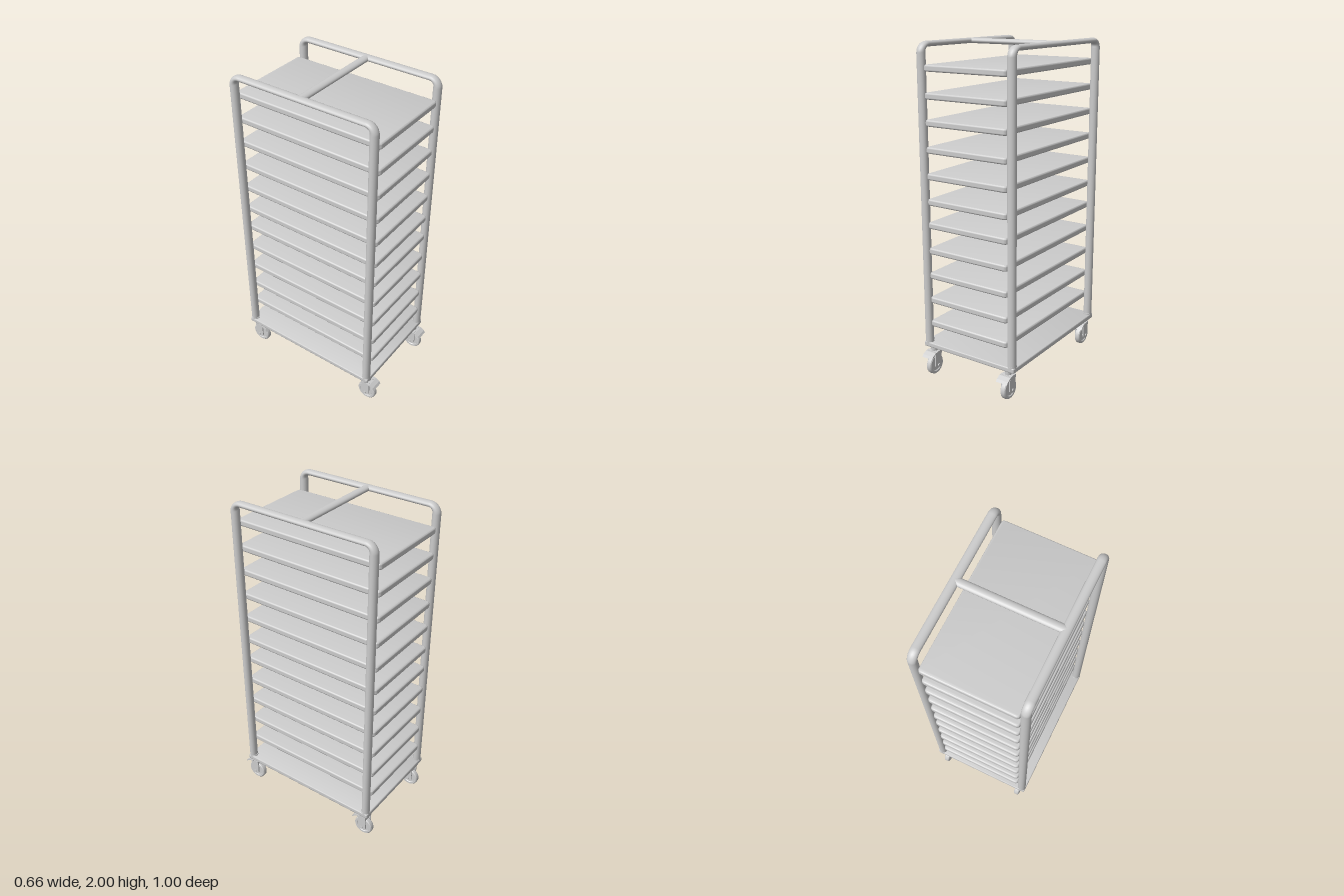
import * as THREE from 'three';
import { toCreasedNormals } from 'three/addons/utils/BufferGeometryUtils.js';

const mat = new THREE.MeshStandardMaterial({ color: 0xcccccc, side: THREE.DoubleSide });
const MID_Z = -0.015;

function add(parent, name, geometry, x = 0, y = 0, z = 0) {
  const mesh = new THREE.Mesh(geometry, mat);
  mesh.name = name;
  mesh.position.set(x, y, z);
  parent.add(mesh);
  return mesh;
}

// Horizontal slab with rounded corners and soft edges, centred on its origin
function slab(width, height, depth, corner, inset, drop, segments) {
  const w = width / 2 - inset, d = depth / 2 - inset, r = corner;
  const s = new THREE.Shape();
  s.moveTo(-w + r, -d);
  s.lineTo(w - r, -d).quadraticCurveTo(w, -d, w, -d + r);
  s.lineTo(w, d - r).quadraticCurveTo(w, d, w - r, d);
  s.lineTo(-w + r, d).quadraticCurveTo(-w, d, -w, d - r);
  s.lineTo(-w, -d + r).quadraticCurveTo(-w, -d, -w + r, -d);
  const g = new THREE.ExtrudeGeometry(s, {
    depth: height - 2 * drop, bevelThickness: drop, bevelSize: inset,
    bevelSegments: segments, curveSegments: 4,
  });
  g.translate(0, 0, drop - height / 2).rotateX(-Math.PI / 2);
  return toCreasedNormals(g, 0.7);
}

// Bent side tube: round on the posts, flattening into the top rail
function hoopGeometry() {
  const front = 0.436, back = -0.464, top = 1.984, bend = 0.045, steps = 8, sides = 20;
  const rings = [[0.2, front, 0, 0.024]]; // y, z, outward angle, half thickness
  for (const [cz, start] of [[front - bend, 0], [back + bend, Math.PI / 2]]) {
    for (let i = 0; i <= steps; i++) {
      const a = start + (i / steps) * Math.PI / 2;
      rings.push([top - bend + bend * Math.sin(a), cz + bend * Math.cos(a), a,
        0.024 - 0.008 * Math.sin(a)]);
    }
  }
  rings.push([0.2, back, Math.PI, 0.024]);
  const pos = [], idx = [];
  rings.forEach(([y, z, a, h], i) => {
    for (let j = 0; j < sides; j++) {
      const t = (j / sides) * Math.PI * 2, o = h * Math.sin(t);
      pos.push(0.0265 * Math.cos(t), y + o * Math.sin(a), z + o * Math.cos(a));
      if (i === 0) continue;
      const k = (j + 1) % sides, p = (i - 1) * sides, q = i * sides;
      idx.push(p + j, q + j, p + k, p + k, q + j, q + k);
    }
  });
  const g = new THREE.BufferGeometry();
  g.setAttribute('position', new THREE.Float32BufferAttribute(pos, 3));
  g.setIndex(idx);
  g.computeVertexNormals();
  return g;
}

// Wheel with rounded tread, spinning about x
function wheelGeometry() {
  const pts = [[0, -0.012], [0.04, -0.012], [0.044, -0.017], [0.056, -0.017], [0.061, -0.012],
    [0.062, 0], [0.061, 0.012], [0.056, 0.017], [0.044, 0.017], [0.04, 0.012], [0, 0.012]];
  const g = new THREE.LatheGeometry(pts.map(([r, y]) => new THREE.Vector2(r, y)), 28);
  return toCreasedNormals(g.rotateZ(Math.PI / 2), 0.6);
}

// Fork cheek: straight sides with a rounded foot, cut in the z-y plane
function cheekGeometry() {
  const s = new THREE.Shape();
  s.moveTo(-0.028, 0.152);
  s.lineTo(-0.028, 0.06).lineTo(-0.018, 0.045).lineTo(0.018, 0.045);
  s.lineTo(0.028, 0.06).lineTo(0.028, 0.152);
  const g = new THREE.ExtrudeGeometry(s, { depth: 0.008, bevelEnabled: false });
  return g.translate(0, 0, -0.004).rotateY(-Math.PI / 2);
}

function caster() {
  const c = new THREE.Group();
  c.name = 'caster';
  add(c, 'wheel', wheelGeometry(), 0, 0.062, 0);
  add(c, 'axle', new THREE.CylinderGeometry(0.009, 0.009, 0.076, 12).rotateZ(Math.PI / 2), 0, 0.062, 0);
  for (const s of [-1, 1]) add(c, 'forkCheek', cheekGeometry(), s * 0.028, 0, 0);
  add(c, 'forkCrown', new THREE.BoxGeometry(0.07, 0.022, 0.056), 0, 0.143, 0);
  add(c, 'stem', new THREE.CylinderGeometry(0.02, 0.02, 0.04, 16), 0, 0.168, 0);
  // Sloping brake pedal with a turned-down lip
  const s = new THREE.Shape();
  s.moveTo(0.01, 0.156);
  s.lineTo(0.035, 0.152).lineTo(0.06, 0.138).lineTo(0.07, 0.124);
  s.lineTo(0.064, 0.122).lineTo(0.055, 0.132).lineTo(0.032, 0.145).lineTo(0.01, 0.148);
  const pedal = new THREE.ExtrudeGeometry(s, { depth: 0.077, bevelEnabled: false });
  add(c, 'brakePedal', pedal.translate(0, 0, -0.0385).rotateY(-Math.PI / 2));
  return c;
}

export function createModel() {
  const model = new THREE.Group();
  model.name = 'trayTrolley';

  // Base deck
  add(model, 'baseDeck', slab(0.656, 0.03, 0.948, 0.006, 0.004, 0.008, 3), 0, 0.194, MID_Z);

  // Side hoops, post collars and cross bar
  const hoop = hoopGeometry();
  for (const x of [-0.3015, 0.3015]) {
    add(model, 'sideHoop', hoop, x);
    for (const z of [0.434, -0.462]) {
      add(model, 'postCollar', new THREE.CylinderGeometry(0.0265, 0.0265, 0.012, 20), x, 0.21, z);
    }
  }
  const bar = new THREE.CylinderGeometry(0.025, 0.025, 0.6, 20).rotateZ(Math.PI / 2).scale(1, 0.64, 1);
  add(model, 'crossBar', bar, 0, 1.984, -0.018);

  // Shelves
  const shelf = slab(0.552, 0.037, 0.942, 0.014, 0.008, 0.016, 4);
  for (const y of [0.339, 0.49, 0.644, 0.798, 0.954, 1.094, 1.245, 1.399, 1.553, 1.704, 1.857]) {
    add(model, 'shelf', shelf, 0, y, MID_Z);
  }

  // Casters, all trailing the same way
  for (const x of [-0.273, 0.273]) {
    for (const z of [0.431, -0.438]) {
      const c = caster();
      c.position.set(x, 0, z);
      model.add(c);
    }
  }
  return model;
}
